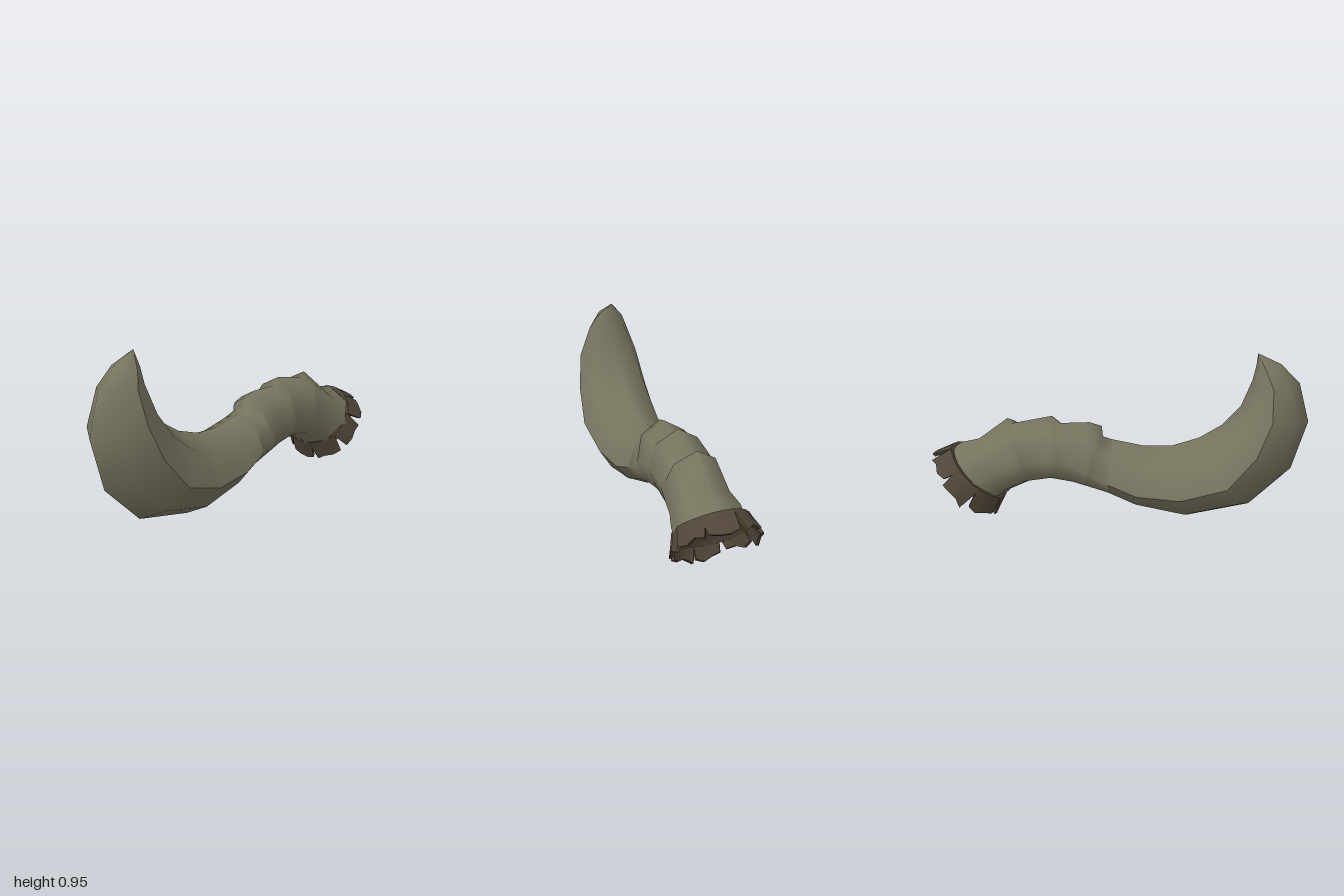
import * as THREE from 'three';

const hide = new THREE.MeshStandardMaterial({ color: 0x77755f });
hide.name = 'olive horn';
const bark = new THREE.MeshStandardMaterial({ color: 0x4f4538, side: THREE.DoubleSide });
bark.name = 'dark brown rim';

// Cross-sections from tip to base: inner z,y / side ridge z,y / outer z,y / half width
const RINGS = [
  [0.72, 0.955, 0.72, 0.955, 0.72, 0.955, 0],
  [0.715, 0.89, 0.765, 0.875, 0.84, 0.90, 0.075],
  [0.70, 0.81, 0.80, 0.80, 0.94, 0.80, 0.112],
  [0.65, 0.67, 0.80, 0.64, 1.00, 0.59, 0.172],
  [0.56, 0.56, 0.73, 0.46, 0.93, 0.32, 0.203],
  [0.44, 0.48, 0.59, 0.285, 0.72, 0.10, 0.22],
  [0.30, 0.43, 0.35, 0.20, 0.39, 0.015, 0.20],
  [0.14, 0.425, 0.12, 0.205, 0.11, 0.08, 0.178],
  [-0.02, 0.455, -0.03, 0.26, -0.04, 0.145, 0.16],
  [-0.07, 0.47, -0.14, 0.31, -0.18, 0.20, 0.152],
  [-0.075, 0.53, -0.145, 0.313, -0.185, 0.20, 0.152],
  [-0.14, 0.55, -0.20, 0.345, -0.23, 0.207, 0.15],
  [-0.30, 0.54, -0.31, 0.37, -0.33, 0.22, 0.15],
  [-0.34, 0.58, -0.33, 0.372, -0.36, 0.22, 0.15],
  [-0.56, 0.53, -0.49, 0.36, -0.46, 0.195, 0.15],
  [-0.58, 0.56, -0.51, 0.352, -0.48, 0.19, 0.152],
  [-0.74, 0.435, -0.65, 0.29, -0.58, 0.14, 0.162],
  [-0.84, 0.41, -0.72, 0.26, -0.62, 0.10, 0.182],
  [-0.89, 0.37, -0.76, 0.24, -0.63, 0.10, 0.187],
];
const HOOK_END = 8;

// Point on a cross-section; steps 0-4 are the inner half, 4-8 the outer half.
// The outer half of the hook is slightly keeled.
function ringPoint(i, step) {
  const [iz, iy, sz, sy, oz, oy, w] = RINGS[i];
  const a = (step * Math.PI) / 4;
  const s = Math.sin(a);
  const keel = i <= HOOK_END && step > 4 && step % 2 === 1 ? 0.89 : 1;
  const k = Math.abs(s) * keel;
  const [ez, ey] = s >= 0 ? [iz, iy] : [oz, oy];
  return [0.01 + w * Math.cos(a) * keel, sy + (ey - sy) * k, sz + (ez - sz) * k];
}

// Skin between cross-sections, either a closed loop (8 steps) or one half (4 steps)
function loft(name, first, last, from = 0, steps = 8) {
  const cols = steps === 8 ? 8 : steps + 1;
  const pos = [];
  const index = [];
  for (let i = first; i <= last; i++) {
    for (let j = 0; j < cols; j++) pos.push(...ringPoint(i, from + j));
  }
  for (let i = 0; i < last - first; i++) {
    for (let j = 0; j < steps; j++) {
      const a = i * cols + j;
      const b = i * cols + ((j + 1) % cols);
      index.push(a, a + cols, b, b, a + cols, b + cols);
    }
  }
  const geo = new THREE.BufferGeometry();
  geo.setAttribute('position', new THREE.Float32BufferAttribute(pos, 3));
  geo.setIndex(index);
  geo.computeVertexNormals();
  const mesh = new THREE.Mesh(geo, hide);
  mesh.name = name;
  return mesh;
}

// One thick, flared, ragged flap bent around the base
function flap(k, count) {
  const vary = (n) => Math.sin(k * 2.7 + n * 1.9);
  const geo = new THREE.BoxGeometry(1, 1, 1, 3, 2, 1);
  const p = geo.attributes.position;
  const centre = ((k + 0.5) / count) * Math.PI * 2 + 0.25 + vary(1) * 0.03;
  const span = ((Math.PI * 2) / count) * (1 + 0.05 * vary(2));
  for (let i = 0; i < p.count; i++) {
    const t = p.getX(i);
    const s = p.getY(i) + 0.5;
    const angle = centre - t * span * (1.08 - 0.26 * s);
    const r = 0.19 + 0.04 * s + p.getZ(i) * 0.018 + 0.012 * t * vary(4);
    const ragged = 0.012 * Math.sin(t * 7 + k * 1.7) + 0.02 * t * vary(5);
    const depth = -0.022 + s * (0.108 + 0.008 * vary(3) + ragged);
    p.setXYZ(i, 0.94 * r * Math.cos(angle), r * Math.sin(angle), -depth);
  }
  geo.computeVertexNormals();
  const mesh = new THREE.Mesh(geo, bark);
  mesh.name = 'rimFlap';
  return mesh;
}

export function createModel() {
  const model = new THREE.Group();
  model.name = 'horn';

  // Hooked horn, its two halves meeting at a sharp side ridge
  model.add(loft('hookInnerFace', 0, HOOK_END, 0, 4), loft('hookOuterFace', 0, HOOK_END, 4, 4));

  // Smooth neck with three overlapping folds along its top
  model.add(loft('foldedNeck', HOOK_END, RINGS.length - 1));

  // Ragged rim around the open base, facing back and down
  const rim = new THREE.Group();
  rim.name = 'raggedRim';
  rim.position.set(0.003, 0.24, -0.76);
  rim.rotation.x = -Math.PI / 4;
  const count = 8;
  for (let k = 0; k < count; k++) rim.add(flap(k, count));

  // Hollow inside the rim
  const profile = [[0, -0.04], [0.1, -0.03], [0.165, 0], [0.2, 0.035]];
  const bowl = new THREE.Mesh(
    new THREE.LatheGeometry(profile.map(([r, d]) => new THREE.Vector2(r, d)), 18), bark);
  bowl.name = 'baseHollow';
  bowl.rotation.x = -Math.PI / 2;
  bowl.scale.x = 0.94;
  rim.add(bowl);
  model.add(rim);
  return model;
}
